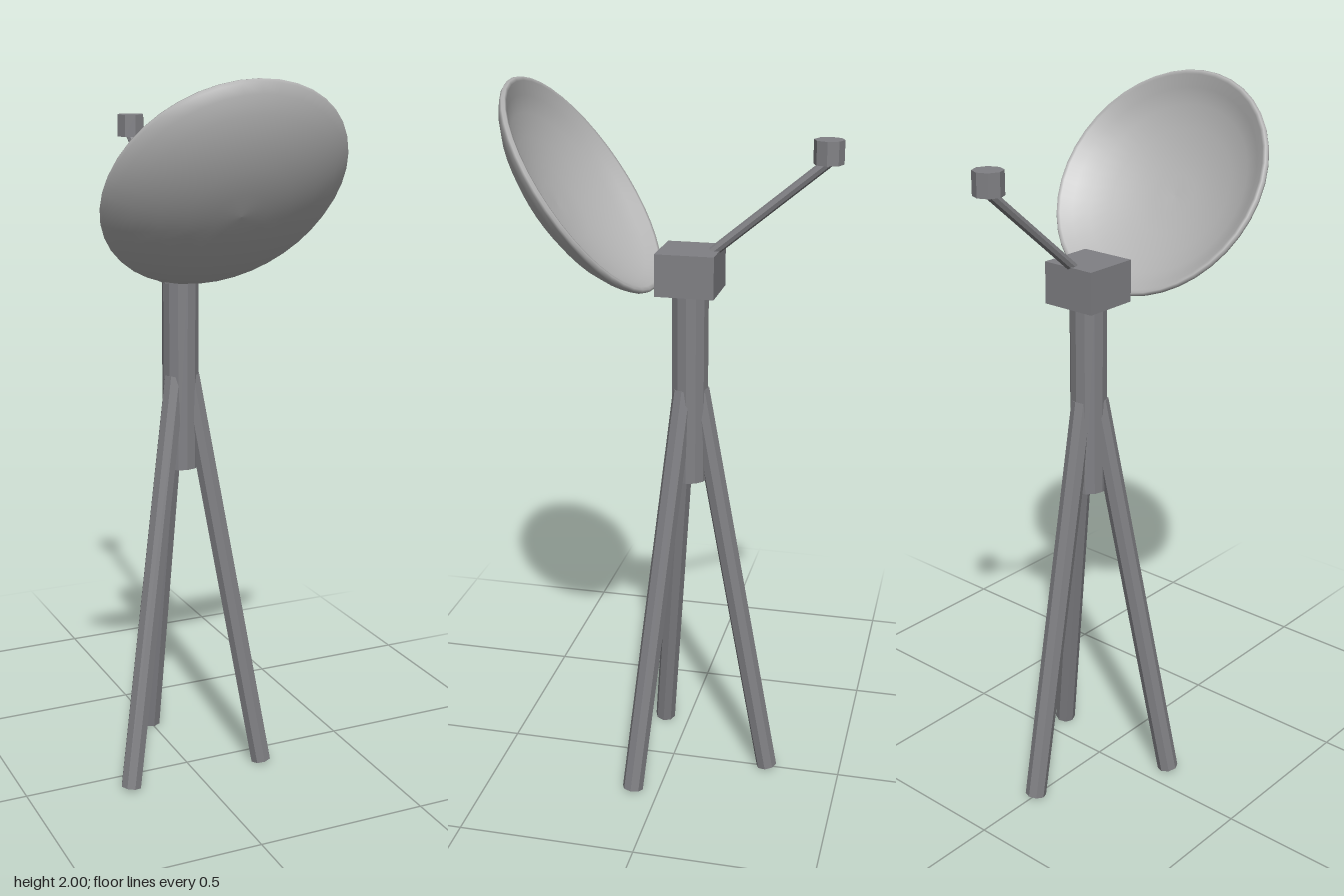
import * as THREE from 'three';

export function createModel() {
  const model = new THREE.Group();
  const metal = new THREE.MeshStandardMaterial({ name: 'mid grey metal', color: 0x808084, flatShading: true });
  const dishGrey = new THREE.MeshStandardMaterial({ name: 'light grey dish', color: 0xb4b4b4 });
  const axisZ = -0.045; // the mast and tripod share this axis

  const add = (name, geometry, material, x, y, z) => {
    const mesh = new THREE.Mesh(geometry, material);
    mesh.name = name;
    mesh.position.set(x, y, z);
    model.add(mesh);
    return mesh;
  };

  // straight round bar between two points
  const bar = (name, from, to, radius, sides) => {
    const dir = to.clone().sub(from);
    const mid = from.clone().add(to).multiplyScalar(0.5);
    const mesh = add(name, new THREE.CylinderGeometry(radius, radius, dir.length(), sides), metal, mid.x, mid.y, mid.z);
    mesh.quaternion.setFromUnitVectors(new THREE.Vector3(0, 1, 0), dir.normalize());
  };

  // tripod: one leg to the back, two splayed to the front
  ['backLeg', 'leftLeg', 'rightLeg'].forEach((name, i) => {
    const a = Math.PI + (i * Math.PI * 2) / 3 * (i === 1 ? -1 : 0.5) ;
    const angle = i === 0 ? Math.PI : (i === 1 ? Math.PI / 3 : -Math.PI / 3);
    const at = (r, y) => new THREE.Vector3(Math.sin(angle) * r, y, axisZ + Math.cos(angle) * r);
    bar(name, at(0.24, 0.006), at(0.025, 1.18), 0.03, 8);
  });

  // mast and head box
  add('mast', new THREE.CylinderGeometry(0.051, 0.051, 0.545, 12), metal, 0, 1.1875, axisZ);
  add('headBox', new THREE.BoxGeometry(0.16, 0.115, 0.16), metal, 0, 1.5125, axisZ);

  // feed arm with its receiver
  bar('feedArm', new THREE.Vector3(0, 1.565, -0.105), new THREE.Vector3(0, 1.815, -0.405), 0.014, 8);
  add('receiver', new THREE.CylinderGeometry(0.04, 0.04, 0.062, 8), metal, 0, 1.841, -0.405);

  // dish: outer bowl, rounded lip, then inner bowl
  const profile = [
    [0, -0.107], [0.07, -0.104], [0.14, -0.094], [0.21, -0.075], [0.27, -0.049], [0.31, -0.022],
    [0.33, -0.002], [0.333, 0.007], [0.328, 0.014], [0.318, 0.012],
    [0.29, -0.012], [0.25, -0.036], [0.19, -0.06], [0.12, -0.078], [0.06, -0.086], [0, -0.088],
  ].map(([r, y]) => new THREE.Vector2(r, y));
  const dish = add('dish', new THREE.LatheGeometry(profile, 40), dishGrey, 0, 1.725, 0.25);
  dish.rotation.x = -0.96;

  return model;
}
